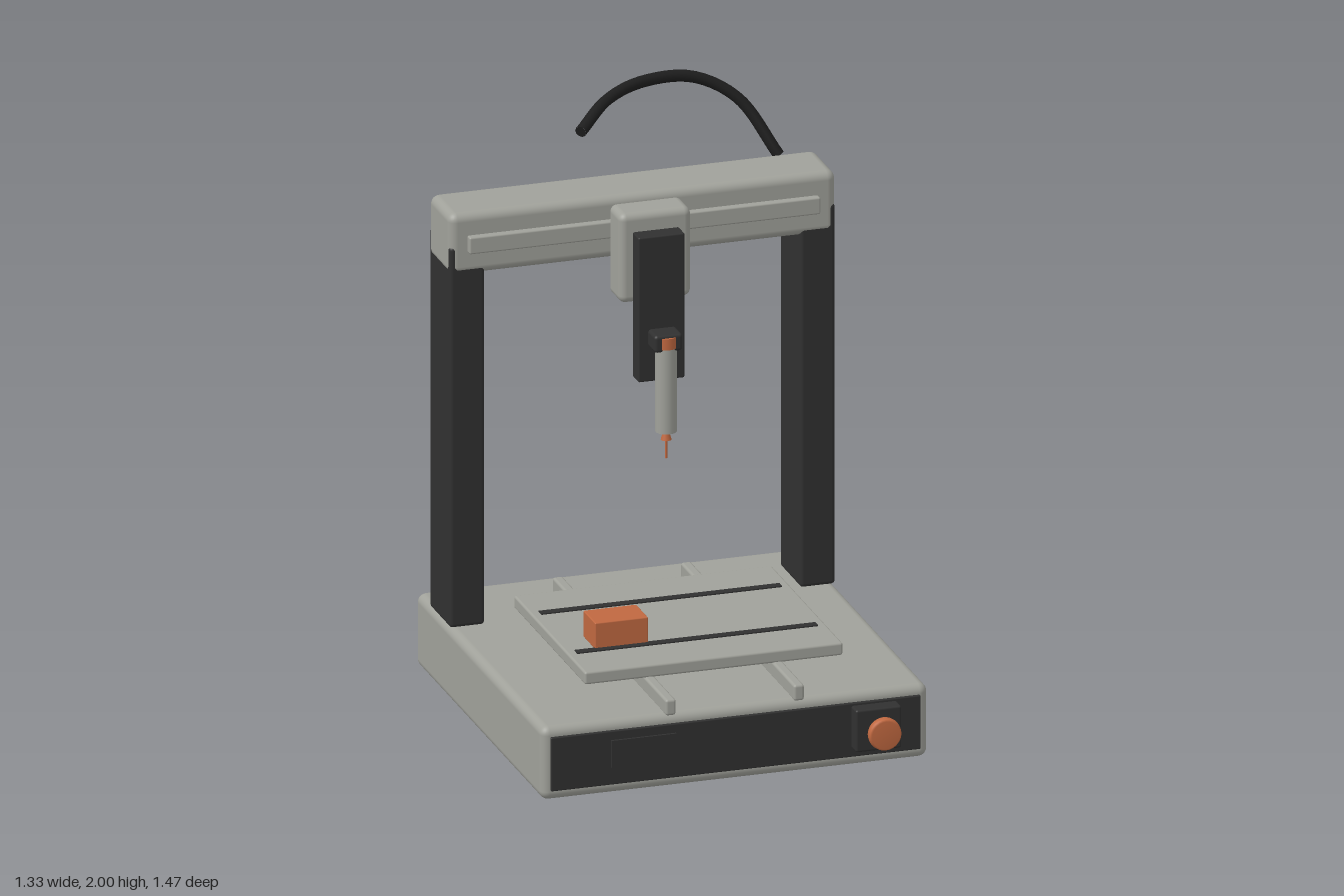
import * as THREE from 'three';
import { RoundedBoxGeometry } from 'three/addons/geometries/RoundedBoxGeometry.js';

const material = (name, color) => {
  const m = new THREE.MeshStandardMaterial({ color });
  m.name = name;
  return m;
};

export function createModel() {
  const grey = material('warm grey', 0xa0a19a);
  const dark = material('charcoal', 0x303030);
  const black = material('black rubber', 0x1e1e1e);
  const orange = material('copper orange', 0xc06840);

  const model = new THREE.Group();
  model.name = 'millingMachine';

  const add = (name, geometry, mat, x = 0, y = 0, z = 0) => {
    const mesh = new THREE.Mesh(geometry, mat);
    mesh.name = name;
    mesh.position.set(x, y, z);
    model.add(mesh);
    return mesh;
  };
  // box given by its extents, with rounded edges when r > 0
  const box = (name, mat, [x0, x1], [y0, y1], [z0, z1], r = 0) => {
    const size = [x1 - x0, y1 - y0, z1 - z0];
    const geometry = r > 0 ? new RoundedBoxGeometry(...size, 3, r) : new THREE.BoxGeometry(...size);
    return add(name, geometry, mat, (x0 + x1) / 2, (y0 + y1) / 2, (z0 + z1) / 2);
  };
  const cylinder = (name, mat, rTop, rBottom, y0, y1, x, z) =>
    add(name, new THREE.CylinderGeometry(rTop, rBottom, y1 - y0, 24), mat, x, (y0 + y1) / 2, z);

  // base and portal frame
  box('base', grey, [-0.667, 0.667], [0, 0.257], [-0.735, 0.6], 0.03);
  box('topBeam', grey, [-0.667, 0.667], [1.488, 1.704], [-0.595, -0.374], 0.03);
  for (const s of [-1, 1]) {
    const xs = s > 0 ? [0.543, 0.665] : [-0.665, -0.543];
    box(s > 0 ? 'leftColumn' : 'rightColumn', dark, xs, [0.255, 1.59], [-0.592, -0.376], 0.014);
  }
  box('crossRail', grey, [-0.605, 0.605], [1.568, 1.627], [-0.38, -0.35], 0.006);

  // work table on its two guide rails
  for (const s of [-1, 1]) {
    box(s > 0 ? 'leftBedRail' : 'rightBedRail', grey,
      [s * 0.221 - 0.018, s * 0.221 + 0.018], [0.25, 0.306], [-0.6, 0.6], 0.009);
    box(s > 0 ? 'frontSlot' : 'rearSlot', dark,
      [-0.415, 0.415], [0.343, 0.351], [s * 0.19 - 0.015, s * 0.19 + 0.015]);
  }
  box('bed', grey, [-0.445, 0.445], [0.303, 0.347], [-0.376, 0.376], 0.008);
  box('workpiece', orange, [-0.346, -0.163], [0.345, 0.438], [0.056, 0.181], 0.004);

  // carriage and tool head
  box('carriage', grey, [-0.124, 0.124], [1.377, 1.69], [-0.361, -0.237], 0.025);
  box('slidePlate', dark, [-0.08, 0.08], [1.12, 1.627], [-0.24, -0.177], 0.006);
  box('toolClamp', dark, [-0.049, 0.049], [1.245, 1.306], [-0.18, -0.1], 0.012);
  const tz = -0.13;
  cylinder('spindle', grey, 0.036, 0.036, 0.96, 1.256, 0, tz);
  cylinder('spindleRing', orange, 0.039, 0.039, 1.256, 1.295, 0, tz);
  cylinder('collet', orange, 0.009, 0.018, 0.93, 0.962, 0, tz);
  cylinder('cutter', orange, 0.004, 0.004, 0.865, 0.932, 0, tz);

  // control panel
  box('frontPanel', dark, [-0.637, 0.637], [0.036, 0.224], [0.585, 0.61], 0.004);
  box('display', dark, [-0.431, -0.207], [0.098, 0.193], [0.609, 0.618]);
  box('knobHousing', dark, [0.397, 0.555], [0.068, 0.216], [0.605, 0.66], 0.008);
  const kx = 0.477, ky = 0.147;
  add('knobShaft', new THREE.CylinderGeometry(0.018, 0.018, 0.05, 20), dark, kx, ky, 0.68)
    .rotation.x = Math.PI / 2;
  const knobProfile = [[0, -0.018], [0.048, -0.018], [0.054, -0.013], [0.056, 0],
    [0.054, 0.013], [0.048, 0.018], [0, 0.018]].map(([r, y]) => new THREE.Vector2(r, y));
  add('knob', new THREE.LatheGeometry(knobProfile, 28), orange, kx, ky, 0.717)
    .rotation.x = Math.PI / 2;

  // cable arching up from the back of the beam, with capped ends
  const path = new THREE.CatmullRomCurve3([
    [0.545, 1.69, -0.61], [0.43, 1.875, -0.685], [0.285, 1.958, -0.711],
    [0.1, 1.978, -0.673], [-0.05, 1.963, -0.59], [-0.19, 1.915, -0.45],
  ].map((p) => new THREE.Vector3(...p)));
  add('cable', new THREE.TubeGeometry(path, 32, 0.02, 10), black);
  for (const t of [0, 1]) {
    const cap = add('cableEnd', new THREE.CircleGeometry(0.02, 10), black);
    cap.position.copy(path.getPointAt(t));
    const outward = path.getTangentAt(t).multiplyScalar(t ? 1 : -1);
    cap.quaternion.setFromUnitVectors(new THREE.Vector3(0, 0, 1), outward);
  }

  return model;
}
